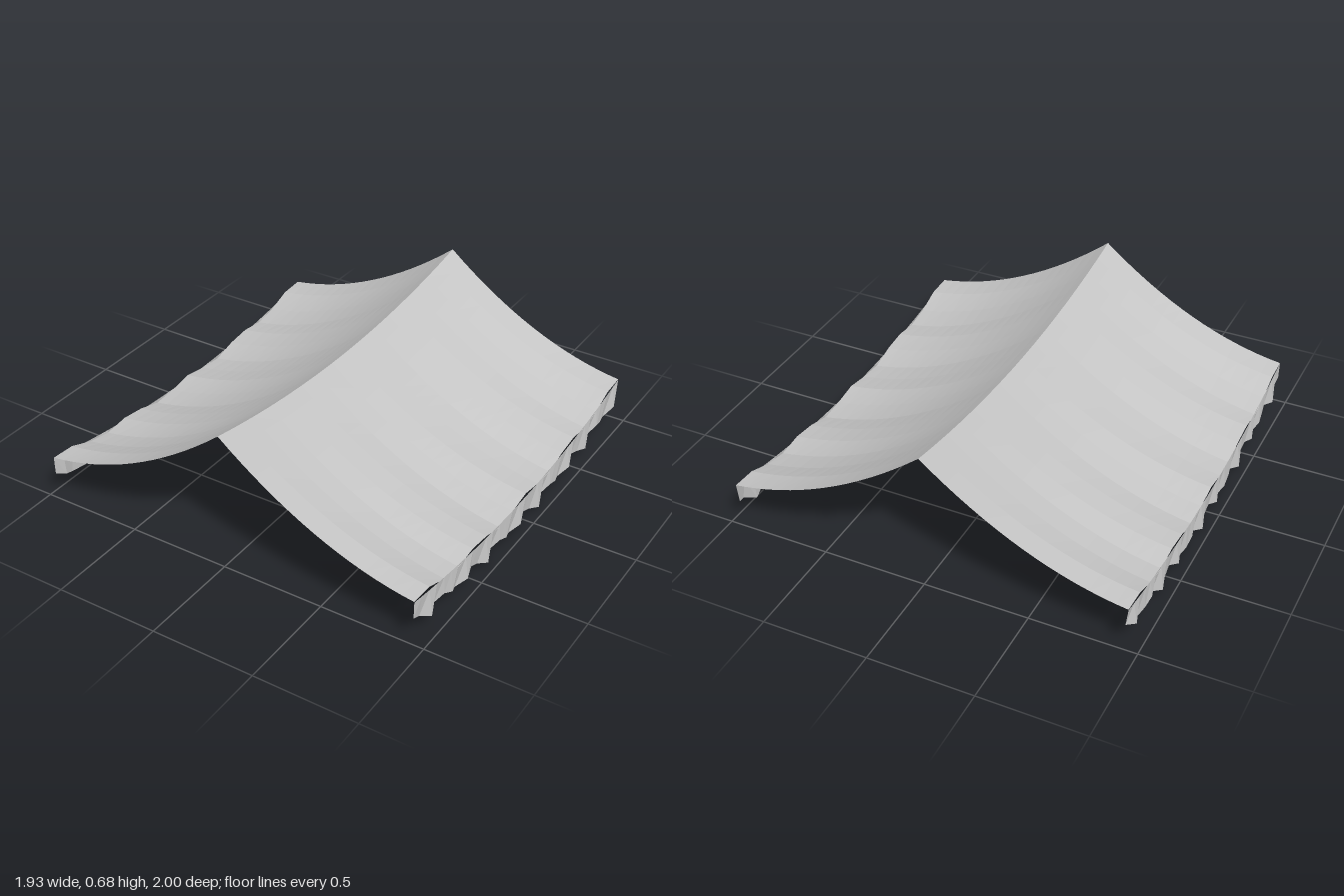
import * as THREE from 'three';

const HALF_WIDTH = 0.95;
const RIDGE = 0.685, EAVE = 0.225;

// Lengthwise sag: zero at both ends, deepest in the middle
const sag = z => 0.095 * (1 - z * z);

// Cloth grid whose vertices are placed by a rule of (u, v), each 0..1
function cloth(nu, nv, place) {
  const plane = new THREE.PlaneGeometry(1, 1, nu, nv);
  const pos = plane.attributes.position;
  for (let i = 0; i < pos.count; i++) {
    pos.setXYZ(i, ...place(pos.getX(i) + 0.5, pos.getY(i) + 0.5));
  }
  const geometry = plane.toNonIndexed();
  geometry.computeVertexNormals();
  return geometry;
}

// Sloping half of the canopy, with ripples growing towards the eave
function roofPanel(side) {
  return cloth(16, 16, (u, v) => {
    const t = side > 0 ? u : 1 - u;
    const z = 1 - 2 * v;
    const slope = RIDGE + (EAVE - RIDGE) * t - 0.33 * t * (1 - t);
    const ripple = 0.018 * t * Math.cos(14 * z);
    return [side * HALF_WIDTH * t, slope - sag(z) + ripple, z];
  });
}

// Hanging strip with a zigzag hem that flutters in and out
function valance(side) {
  return cloth(32, 1, (u, v) => {
    const z = side * (1 - 2 * u);
    const down = 1 - v;
    const zigzag = 1 - Math.abs(((z + 1) * 8) % 2 - 1);
    const drop = 0.085 + 0.045 * zigzag;
    const flutter = 0.016 * Math.cos(38 * (z - 0.052));
    return [side * (HALF_WIDTH + flutter * down), EAVE - sag(z) - drop * down, z];
  });
}

export function createModel() {
  const group = new THREE.Group();
  group.name = 'clothCanopy';
  const fabric = new THREE.MeshStandardMaterial({
    name: 'greyFabric', color: 0xc4c4c4, flatShading: true, side: THREE.DoubleSide,
  });

  for (const [side, label] of [[1, 'left'], [-1, 'right']]) {
    const panel = new THREE.Mesh(roofPanel(side), fabric);
    panel.name = label + 'RoofPanel';
    const strip = new THREE.Mesh(valance(side), fabric);
    strip.name = label + 'Valance';
    group.add(panel, strip);
  }
  return group;
}
